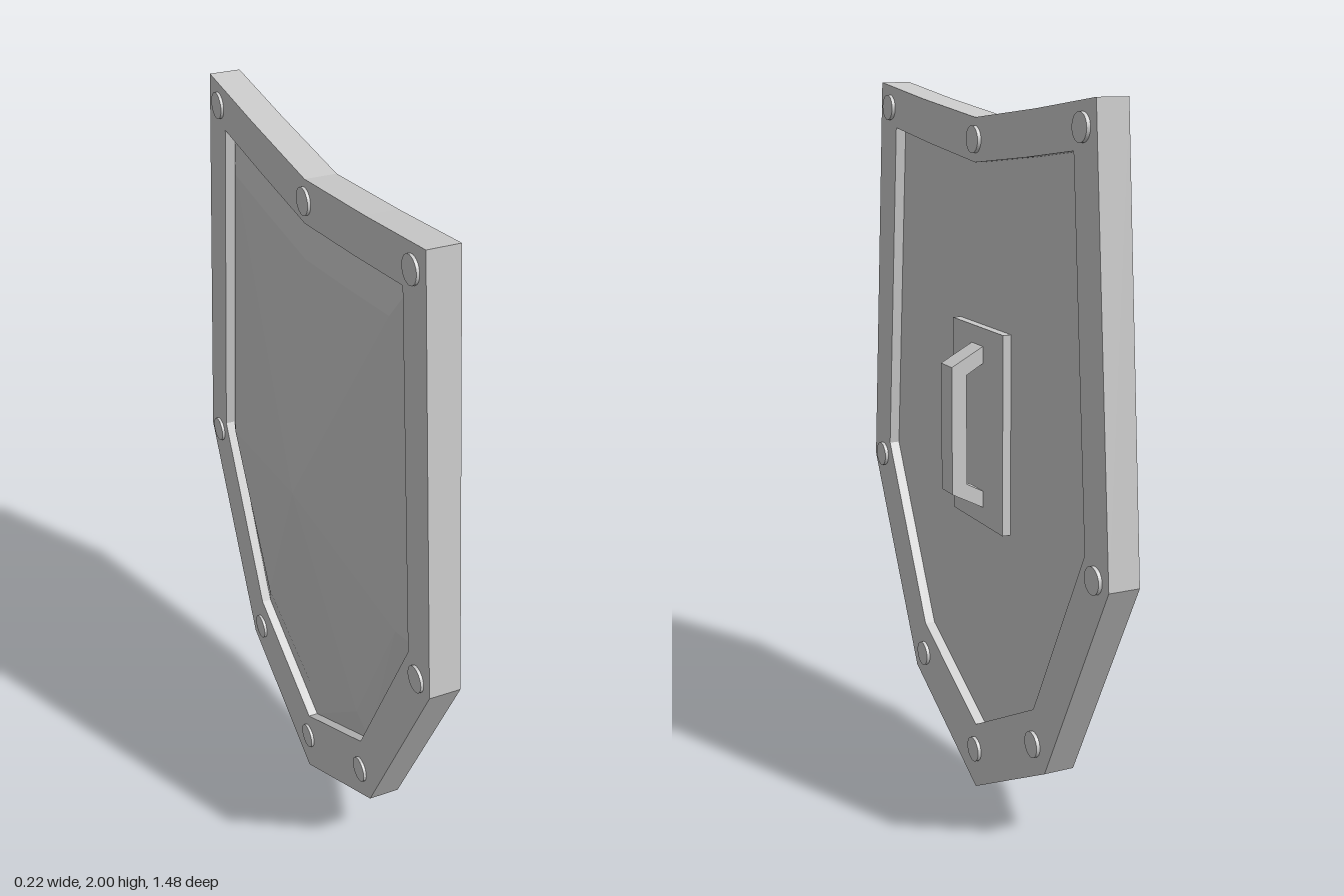
import * as THREE from 'three';

const material = new THREE.MeshStandardMaterial({ color: 0xcccccc, flatShading: true });

// Closed counterclockwise outline from its right half, listed bottom to top (ends on the axis)
const mirrored = (half) => [...half, ...half.slice(1, -1).reverse().map(([x, y]) => [-x, y])];
const toShape = (pts) => new THREE.Shape(pts.map(([x, y]) => new THREE.Vector2(x, y)));

const outer = mirrored([[0, 0], [0.425, 0.227], [0.74, 0.84], [0.637, 2], [0.34, 1.963], [0, 1.927]]);
const inner = mirrored([[0, 0.197], [0.357, 0.387], [0.62, 0.9], [0.535, 1.873], [0.29, 1.842], [0, 1.81]]);

const RIM_FRONT = -0.067, RIM_BACK = 0.02;

// Bulging front panel: bevelled border ring, then facets up to a shallow peak
function domeGeometry() {
  const edge = inner.map(([x, y]) => [x, y, -0.04]);
  const ring = inner.map(([x, y]) => {
    const ry = 1 + (y - 1) * 0.88;
    return [x * 0.88, ry, -0.066 + Math.max(0, 0.6 - ry) * 0.05];
  });
  const peak = [0, 1.02, -0.112];
  const v = [];
  for (let i = 0; i < edge.length; i++) {
    const j = (i + 1) % edge.length;
    v.push(...edge[i], ...ring[i], ...edge[j]);
    v.push(...edge[j], ...ring[i], ...ring[j]);
    v.push(...ring[i], ...peak, ...ring[j]);
  }
  const g = new THREE.BufferGeometry();
  g.setAttribute('position', new THREE.Float32BufferAttribute(v, 3));
  g.computeVertexNormals();
  return g;
}

export function createModel() {
  // Built facing -z, then turned so the bulge faces -x and the grip +x
  const shield = new THREE.Group();
  shield.name = 'shield';
  const add = (name, geometry, mat = material) => {
    const mesh = new THREE.Mesh(geometry, mat);
    mesh.name = name;
    shield.add(mesh);
    return mesh;
  };

  // Rim frame
  const rimShape = toShape(outer);
  rimShape.holes.push(new THREE.Path(inner.map(([x, y]) => new THREE.Vector2(x, y))));
  add('rim', new THREE.ExtrudeGeometry(rimShape, { depth: RIM_BACK - RIM_FRONT, bevelEnabled: false }))
    .position.z = RIM_FRONT;

  // Panels
  add('frontPanel', domeGeometry());
  add('backPanel', new THREE.ShapeGeometry(toShape(inner))).position.z = -0.01;

  // Rivets through both sides of the rim
  const rivetGeometry = new THREE.CylinderGeometry(0.036, 0.036, 0.105, 24).rotateX(Math.PI / 2);
  const rivetMaterial = new THREE.MeshStandardMaterial({ color: 0xcccccc });
  const rivets = mirrored([[0, 0.12], [0.362, 0.288], [0.672, 0.853], [0.577, 1.93], [0, 1.87]]);
  for (const [x, y] of rivets) {
    add('rivet', rivetGeometry, rivetMaterial).position.set(x, y, -0.0225);
  }

  // Grip plate and handle
  add('gripPlate', new THREE.BoxGeometry(0.314, 0.555, 0.03)).position.set(0, 1.093, -0.001);
  const grip = toShape([
    [0, 1.327], [0.02, 1.317], [0.107, 1.27], [0.107, 0.913], [0.02, 0.868], [0, 0.858],
    [0, 0.905], [0.02, 0.915], [0.063, 0.938], [0.063, 1.245], [0.02, 1.27], [0, 1.28],
  ]);
  const gripGeometry = new THREE.ExtrudeGeometry(grip, { depth: 0.07, bevelEnabled: false });
  gripGeometry.translate(0, 0, -0.035).rotateY(-Math.PI / 2);
  add('handle', gripGeometry);

  shield.rotation.y = Math.PI / 2;
  const model = new THREE.Group();
  model.add(shield);
  return model;
}
